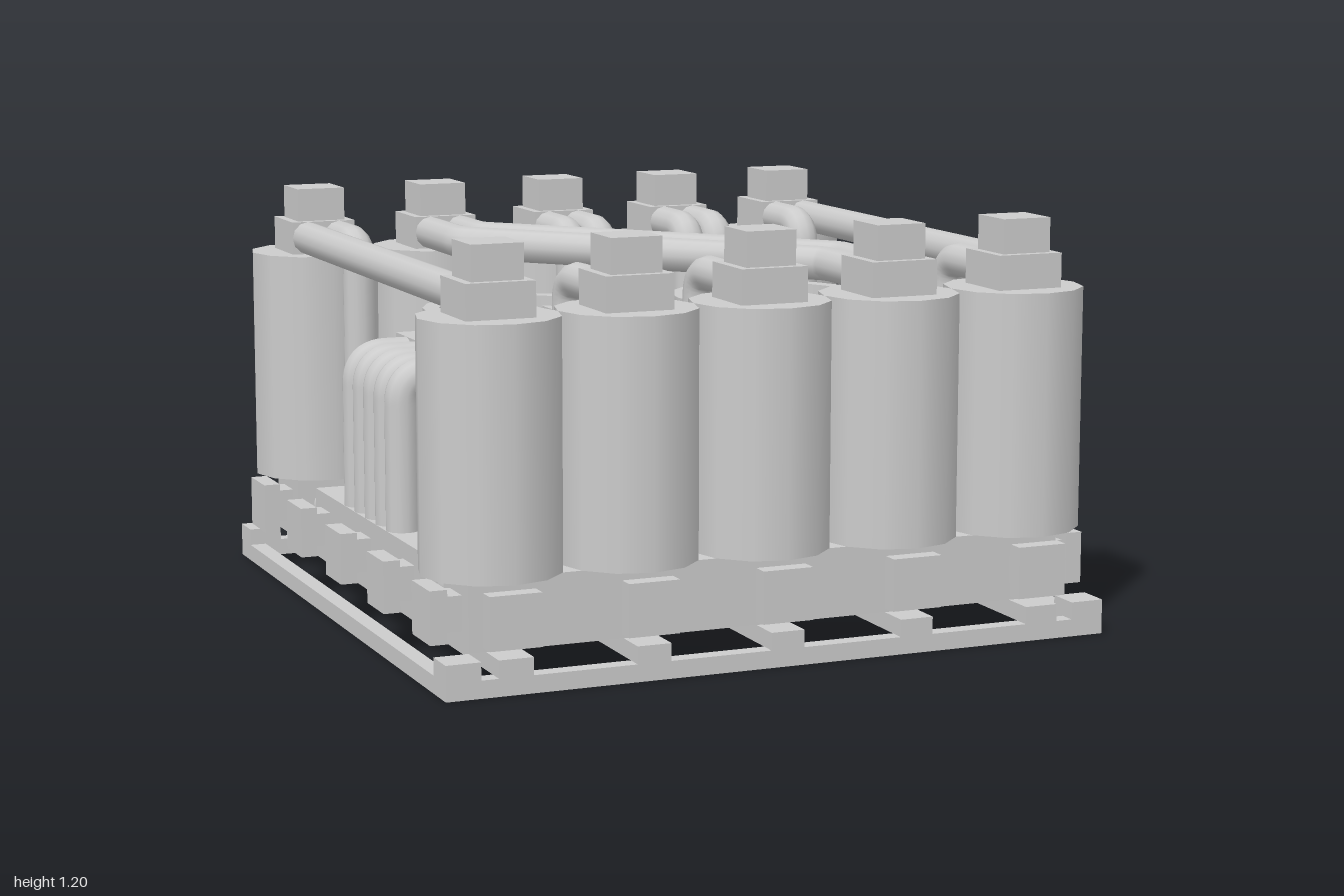
import * as THREE from 'three';

const material = new THREE.MeshStandardMaterial({ color: 0xcccccc });
const thin = new THREE.MeshStandardMaterial({ color: 0xcccccc, side: THREE.DoubleSide });
const R = 0.05; // pipe radius
const COLUMNS = [-0.8, -0.4, 0, 0.4, 0.8];

export function createModel() {
  const model = new THREE.Group();

  const add = (name, geometry, x = 0, y = 0, z = 0, mat = material) => {
    const mesh = new THREE.Mesh(geometry, mat);
    mesh.name = name;
    mesh.position.set(x, y, z);
    model.add(mesh);
    return mesh;
  };
  // Box given by its centre in x and z and its bottom and top in y
  const box = (name, x, z, w, d, y0, y1) =>
    add(name, new THREE.BoxGeometry(w, y1 - y0, d), x, (y0 + y1) / 2, z);

  // Pipe along a polyline whose corners are rounded by the given bend length
  const pipe = (name, points, bend = 0.08) => {
    const p = points.map((a) => new THREE.Vector3(...a));
    const path = new THREE.CurvePath();
    let start = p[0];
    for (let i = 1; i < p.length - 1; i++) {
      const before = p[i].clone().add(p[i - 1].clone().sub(p[i]).setLength(bend));
      const after = p[i].clone().add(p[i + 1].clone().sub(p[i]).setLength(bend));
      path.add(new THREE.LineCurve3(start, before));
      path.add(new THREE.QuadraticBezierCurve3(before, p[i], after));
      start = after;
    }
    path.add(new THREE.LineCurve3(start, p[p.length - 1]));
    const steps = p.length > 2 ? 48 : 1;
    add(name, new THREE.TubeGeometry(path, steps, R, 12), 0, 0, 0, thin);
  };

  // Ground frame: rails, raised corners and lengthwise beams
  for (const s of [-1, 1]) {
    box('frameEndRail', 0, s * 0.975, 2, 0.05, 0, 0.05);
    box('frameSideRail', s * 0.975, 0, 0.05, 1.9, 0, 0.05);
    for (const t of [-1, 1]) box('frameCorner', s * 0.95, t * 0.95, 0.1, 0.1, 0, 0.1);
  }
  for (const x of COLUMNS) box('frameBeam', x, 0, 0.1, 2, 0.05, 0.1);

  // Lower decks and main housing
  box('centerDeck', 0, 0, 1.8, 1, 0.1, 0.3);
  box('housing', 0, 0, 1.6, 0.8, 0.3, 0.7);
  for (const s of [-1, 1]) box('tankDeck', 0, s * 0.8, 1.8, 0.2, 0.1, 0.3);

  for (const s of [-1, 1]) {
    for (const c of COLUMNS) {
      // Connector ports around all four sides
      box('endPortNeck', c, s * 0.925, 0.1, 0.05, 0.15, 0.25);
      box('endPortPlate', c, s * 0.975, 0.15, 0.05, 0.125, 0.275);
      box('sidePortNeck', s * 0.925, c, 0.05, 0.1, 0.15, 0.25);
      box('sidePortPlate', s * 0.975, c, 0.05, 0.15, 0.125, 0.275);

      // Tanks with stepped valve caps
      add('tank', new THREE.CylinderGeometry(0.2, 0.2, 0.7, 12), c, 0.65, s * 0.8);
      box('tankCapBase', c, s * 0.8, 0.2, 0.2, 1, 1.1);
      box('tankCapTop', c, s * 0.8, 0.15, 0.15, 1.1, 1.2);

      // Pipes joining the decks
      pipe('deckPipe', [[c, 0.2, s * 0.5], [c, 0.2, s * 0.7]]);
    }

    // Feed pipes from the tanks down into the housing
    for (const x of [-0.75, -0.45, -0.35, -0.05, 0.05, 0.75]) {
      const px = -s * -x;
      pipe('feedPipe', [[px, 1.05, s * 0.7], [px, 1.05, s * 0.5], [px, 0.35, s * 0.5], [px, 0.35, s * 0.39]]);
    }

    // Overhead pipes: straight at the sides, crossing in the middle
    pipe('overheadPipe', [[s * 0.85, 1.05, -0.7], [s * 0.85, 1.05, 0.7]]);
    const a = 0.4 - s * 0.05, b = 0.45 + s * 0.05;
    pipe('crossingPipe', [[-a, 1.05, -0.7], [-a, 1.05, -b],
      [0.8 - a, 1.05, 0.9 - b], [0.8 - a, 1.05, 0.7]], 0.03);

    // Fan unit: base, ring and slatted grille
    const fx = s * 0.4;
    box('fanBase', fx, 0, 0.6, 0.6, 0.7, 0.8);
    const ring = [[0.25, 0], [0.3, 0], [0.3, 0.1], [0.3, 0.1], [0.25, 0.1], [0.25, 0.1], [0.25, 0]];
    add('fanRing', new THREE.LatheGeometry(ring.map((q) => new THREE.Vector2(...q)), 20), fx, 0.8, 0, thin);
    for (let i = -4; i <= 4; i++) {
      const length = 2 * Math.sqrt(0.25 ** 2 - (i * 0.05) ** 2);
      box('fanSlat', fx + i * 0.05, 0, 0.03, length, 0.83, 0.87);
    }

    // Cooling pipes bending down the sides of the housing
    for (let i = -2; i <= 2; i++) {
      const z = i * 0.1;
      pipe('coolingPipe', [[s * 0.69, 0.75, z], [s * 0.85, 0.75, z], [s * 0.85, 0.3, z]]);
    }
  }

  // Straight pipes between the two fan units
  for (let i = -2; i <= 2; i++) pipe('linkPipe', [[-0.1, 0.75, i * 0.1], [0.1, 0.75, i * 0.1]]);

  return model;
}
